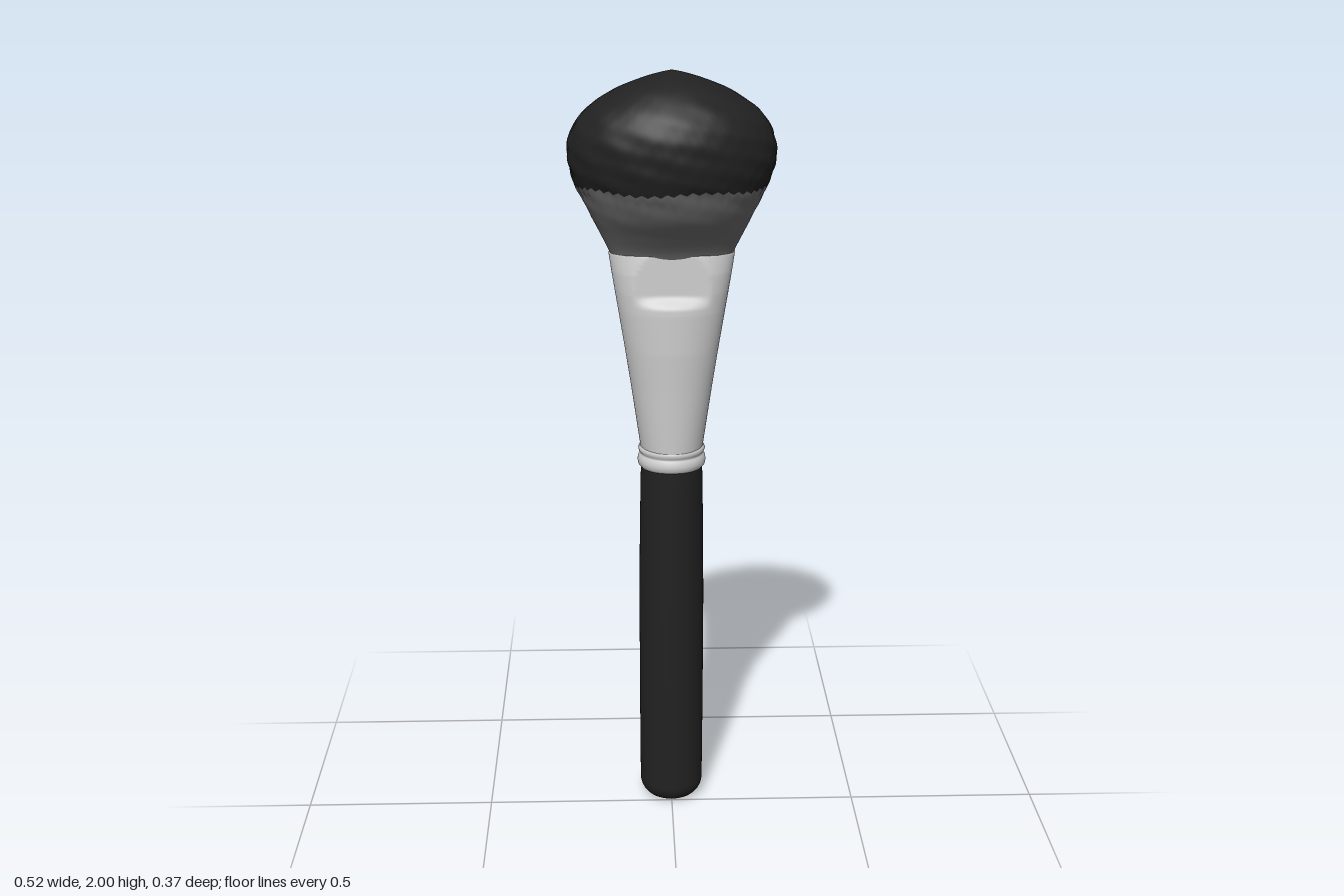
import * as THREE from 'three';

const SEG = 96;

// Smooth skin over elliptical sections [y, halfWidth, halfDepth, centreZ], listed bottom to top.
function loft(rows, warp) {
  const pos = [], idx = [];
  const p = new THREE.Vector3();
  rows.forEach(([y, rx, rz, cz]) => {
    for (let j = 0; j < SEG; j++) {
      const a = (j / SEG) * Math.PI * 2;
      p.set(rx * Math.sin(a), y, cz + rz * Math.cos(a));
      if (warp) warp(p, a, j);
      pos.push(p.x, p.y, p.z);
    }
  });
  for (let i = 0; i < rows.length - 1; i++) {
    for (let j = 0; j < SEG; j++) {
      const k = (j + 1) % SEG;
      const a = i * SEG + j, b = i * SEG + k, c = a + SEG, d = b + SEG;
      idx.push(a, b, c, b, d, c);
    }
  }
  const geo = new THREE.BufferGeometry();
  geo.setAttribute('position', new THREE.Float32BufferAttribute(pos, 3));
  geo.setIndex(idx);
  geo.computeVertexNormals();
  return geo;
}

// Straight subdivision between sections.
function subdivide(rows, n) {
  const out = [];
  for (let i = 0; i < rows.length - 1; i++) {
    for (let s = 0; s < n; s++) out.push(rows[i].map((v, k) => v + ((rows[i + 1][k] - v) * s) / n));
  }
  out.push(rows[rows.length - 1]);
  return out;
}

// Curved subdivision between sections.
function smoothRows(rows, n) {
  const curve = new THREE.CatmullRomCurve3(rows.map(r => new THREE.Vector3(r[0], r[1], r[2])), false, 'centripetal');
  const out = [];
  for (let i = 0; i <= n; i++) {
    const v = curve.getPoint(i / n);
    out.push([v.y === undefined ? 0 : v.x, Math.max(v.y, 0), Math.max(v.z, 0), 0]);
  }
  return out;
}

export function createModel() {
  const mat = (name, color) => {
    const m = new THREE.MeshStandardMaterial({ color });
    m.name = name;
    return m;
  };
  const handleBlack = mat('handleBlack', 0x222222);
  const silver = mat('silver', 0xcfcfcf);
  const bristleGrey = mat('bristleGrey', 0x6c6c6c);
  const bristleBlack = mat('bristleBlack', 0x212121);

  const group = new THREE.Group();
  const add = (name, geo, material) => {
    const mesh = new THREE.Mesh(geo, material);
    mesh.name = name;
    group.add(mesh);
  };

  // Handle: slightly leaning rod with a rounded foot
  const handle = [[0, 0, 0, -0.055], [0, 0.025, 0.025, -0.055]];
  for (let i = 0; i <= 8; i++) {
    const t = (i / 8) * Math.PI / 2;
    const r = 0.04 + 0.045 * Math.sin(t);
    handle.push([0.05 * (1 - Math.cos(t)) + 0.001, r, r, -0.055]);
  }
  handle.push([0.3, 0.086, 0.086, -0.047], [0.6, 0.086, 0.086, -0.038],
    [0.8, 0.084, 0.085, -0.032], [0.95, 0.081, 0.084, -0.027], [0.985, 0.08, 0.083, -0.026]);
  add('handle', loft(handle), handleBlack);

  // Collar: two stacked beads
  const collar = [[0.976, 0.076], [0.978, 0.082], [0.984, 0.087], [0.995, 0.089], [1.006, 0.087],
    [1.012, 0.083], [1.015, 0.082], [1.019, 0.085], [1.026, 0.087], [1.032, 0.085], [1.036, 0.08]];
  add('collar', loft(collar.map(([y, r]) => [y, r, r, -0.026])), silver);

  // Ferrule: round at the collar, flattened at the mouth, with a thumb rest pressed into the front
  const ferrule = subdivide([[1.03, 0.081, 0.084, -0.025], [1.2, 0.105, 0.089, -0.019],
    [1.3, 0.12, 0.092, -0.014], [1.4, 0.136, 0.092, -0.01], [1.45, 0.144, 0.088, -0.008],
    [1.5, 0.152, 0.081, -0.007], [1.548, 0.159, 0.069, -0.007]], 12);
  ferrule.push([1.552, 0.158, 0.067, -0.007], [1.552, 0.14, 0.05, -0.007]);
  add('ferrule', loft(ferrule, p => {
    const s = THREE.MathUtils.smoothstep(p.y, 1.415, 1.45);
    if (p.z > 0.057) p.z = THREE.MathUtils.lerp(p.z, 0.057, s);
  }), silver);

  // Bristle head: grey base fading to a dark domed tip along a ragged line
  const EDGE = 1.715;
  const head = smoothRows([[1.53, 0.147, 0.052], [1.56, 0.16, 0.066], [1.6, 0.18, 0.095],
    [1.65, 0.205, 0.135], [1.7, 0.229, 0.16], [1.75, 0.25, 0.178], [1.8, 0.259, 0.183],
    [1.85, 0.25, 0.18], [1.9, 0.218, 0.159], [1.95, 0.147, 0.11], [1.98, 0.075, 0.058],
    [1.994, 0.028, 0.022], [2, 0, 0]], 84);
  const headGeo = loft(head, (p, a, j) => {
    const y = p.y;
    const fade = THREE.MathUtils.smoothstep(y, 1.57, 1.75) * (1 - THREE.MathUtils.smoothstep(y, 1.93, 1.99));
    const bump = Math.sin(a * 13 + y * 60) + Math.sin(a * 29 - y * 95) + Math.sin(a * 7 + y * 130);
    const k = 1 + 0.0035 * fade * bump;
    p.x *= k;
    p.z *= k;
    const near = Math.exp(-(((y - EDGE) / 0.02) ** 2));
    p.y += near * ((j % 2 ? 0.004 : -0.004) + 0.004 * Math.sin(a * 5));
  });
  const split = head.findIndex(r => r[0] > EDGE) * SEG * 6;
  headGeo.addGroup(0, split, 0);
  headGeo.addGroup(split, headGeo.index.count - split, 1);
  add('bristles', headGeo, [bristleGrey, bristleBlack]);

  return group;
}
